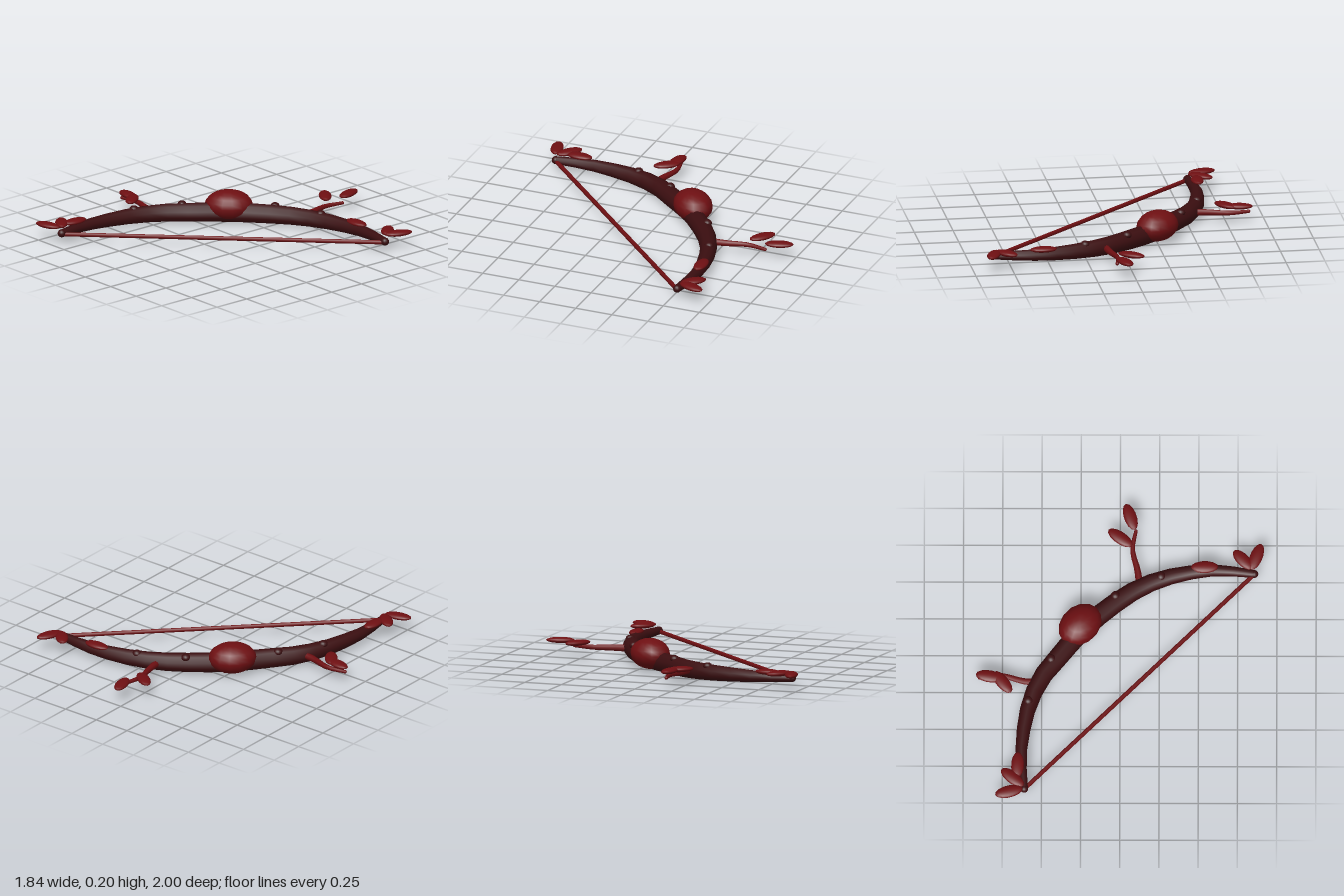
import * as THREE from 'three';

const V = (x, y, z) => new THREE.Vector3(x, y, z);

// Tube along a smooth curve whose radius changes from start to end
function taperTube(points, radiusAt, segments, sides) {
  const curve = new THREE.CatmullRomCurve3(points);
  const geo = new THREE.TubeGeometry(curve, segments, 1, sides, false);
  const pos = geo.attributes.position;
  for (let i = 0; i <= segments; i++) {
    const centre = curve.getPointAt(i / segments);
    for (let j = 0; j <= sides; j++) {
      const k = i * (sides + 1) + j;
      const p = V().fromBufferAttribute(pos, k).sub(centre);
      p.multiplyScalar(radiusAt(i / segments)).add(centre);
      pos.setXYZ(k, p.x, p.y, p.z);
    }
  }
  return geo;
}

export function createModel() {
  const group = new THREE.Group();
  const wood = new THREE.MeshStandardMaterial({ name: 'dark wood', color: 0x3b0e10 });
  const red = new THREE.MeshStandardMaterial({ name: 'deep red', color: 0x6e0f12 });

  const add = (name, geo, mat, position) => {
    const mesh = new THREE.Mesh(geo, mat);
    mesh.name = name;
    if (position) mesh.position.copy(position);
    group.add(mesh);
    return mesh;
  };
  const ball = new THREE.SphereGeometry(1, 14, 10);

  // Curved bow limb lying flat, thick in the middle and thin at the tips
  const limb = [
    [0.855, -0.535], [0.62, -0.56], [0.45, -0.545], [0.25, -0.495], [0.09, -0.42],
    [-0.09, -0.29], [-0.245, -0.15], [-0.375, 0.01], [-0.5, 0.17],
    [-0.575, 0.34], [-0.615, 0.525], [-0.63, 0.7], [-0.61, 0.925],
  ].map(([x, z]) => V(x, 0.07, z));
  add('limb', taperTube(limb, t => 0.025 + 0.04 * Math.sin(Math.PI * t), 18, 10), wood);

  // Rounded tips closing the limb
  const tips = [limb[0], limb[limb.length - 1]];
  for (const tip of tips) add('limbTip', ball, wood, tip).scale.setScalar(0.026);

  // Straight string between the tips
  const span = V().subVectors(tips[1], tips[0]);
  const string = add('string', new THREE.CylinderGeometry(0.014, 0.014, span.length(), 8), red,
    V().addVectors(tips[0], tips[1]).multiplyScalar(0.5).setY(0.064));
  string.quaternion.setFromUnitVectors(V(0, 1, 0), span.normalize());

  // Large bulb on the middle of the limb
  const bulb = add('bulb', ball, red, V(-0.255, 0.112, -0.175));
  bulb.scale.set(0.155, 0.098, 0.122);
  bulb.rotation.y = Math.PI / 4;

  // Small knots on top of the limb
  for (const [x, y, z] of [[-0.03, 0.118, -0.37], [0.26, 0.11, -0.505],
    [-0.44, 0.118, 0.06], [-0.585, 0.11, 0.34]]) {
    add('knot', ball, wood, V(x, y, z)).scale.set(0.03, 0.024, 0.03);
  }

  // Side twigs, thinning outwards
  const twigs = [
    [[0.125, -0.45], [0.11, -0.56], [0.078, -0.7], [0.1, -0.825]],
    [[-0.52, 0.205], [-0.62, 0.195], [-0.77, 0.155], [-0.895, 0.175]],
  ];
  for (const twig of twigs) {
    const path = twig.map(([x, z]) => V(x, 0.071, z));
    add('twig', taperTube(path, t => 0.024 - 0.013 * t, 8, 8), red);
    add('twigEnd', ball, red, path[3]).scale.setScalar(0.011);
  }

  // Flat oval leaves given by base and point (x, z)
  const leaves = [
    [0.835, -0.55, 0.9, -0.725], [0.84, -0.555, 0.725, -0.68], [0.45, -0.565, 0.625, -0.57],
    [-0.62, 0.935, -0.795, 0.98], [-0.615, 0.92, -0.755, 0.805], [-0.655, 0.865, -0.65, 0.69],
    [0.092, -0.82, 0.035, -0.995], [0.075, -0.71, -0.075, -0.82],
    [-0.75, 0.19, -0.92, 0.162], [-0.805, 0.145, -0.695, 0.285],
  ];
  for (const [x0, z0, x1, z1] of leaves) {
    const leaf = add('leaf', ball, red, V((x0 + x1) / 2, 0.108, (z0 + z1) / 2));
    leaf.scale.set(Math.hypot(x1 - x0, z1 - z0) / 2, 0.019, 0.041);
    leaf.rotation.y = -Math.atan2(z1 - z0, x1 - x0);
  }
  return group;
}
